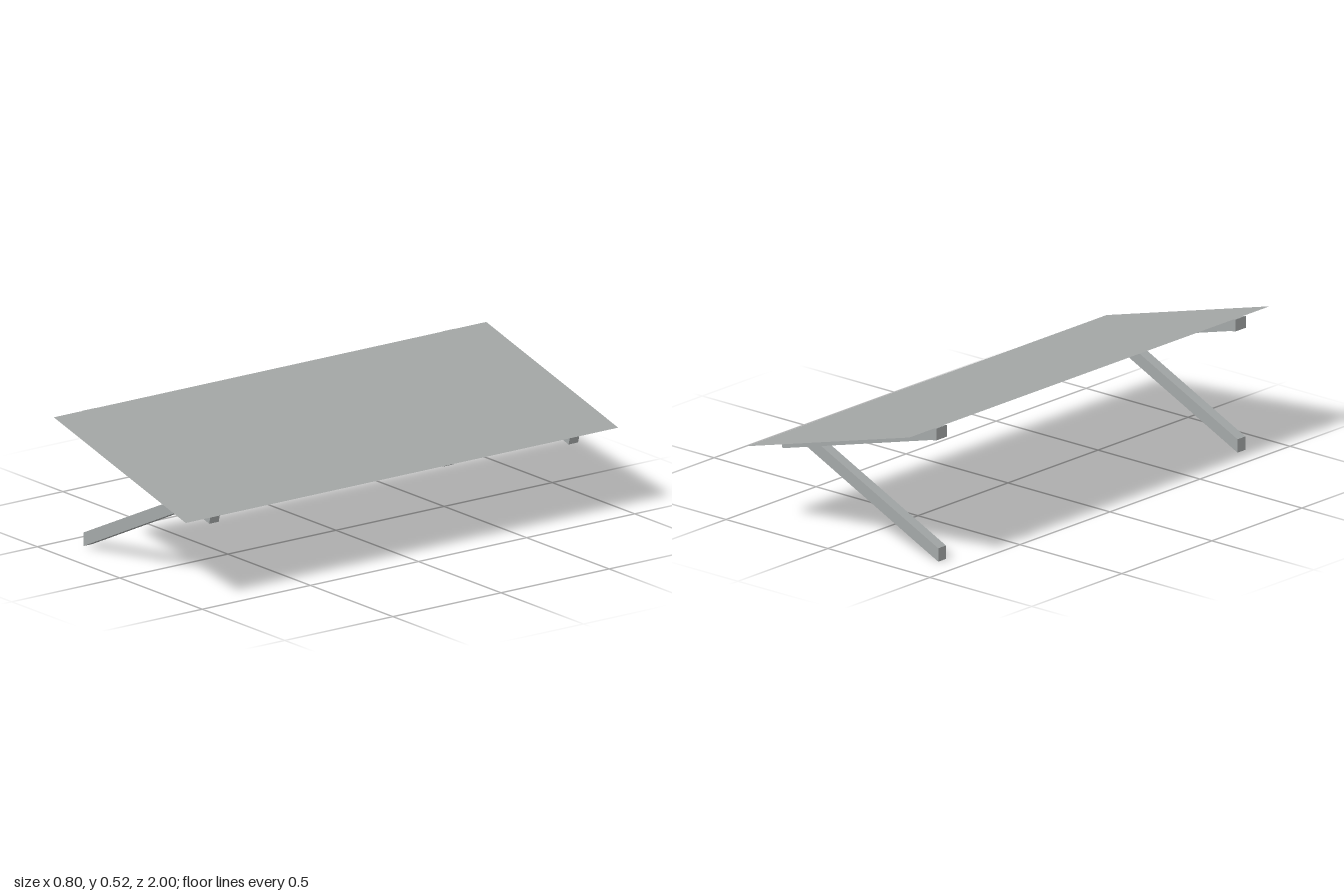
import * as THREE from 'three';

export function createModel() {
  const model = new THREE.Group();
  const grey = new THREE.MeshStandardMaterial({ color: 0xa3a6a5, side: THREE.DoubleSide });
  grey.name = 'grey panel';
  const metal = new THREE.MeshStandardMaterial({ color: 0xa4a8a8 });
  metal.name = 'grey metal';

  // A side profile in x and y, extruded to a bar centred on z
  function bar(name, points, width, z) {
    const shape = new THREE.Shape(points.map(([x, y]) => new THREE.Vector2(x, y)));
    const geometry = new THREE.ExtrudeGeometry(shape, { depth: width, bevelEnabled: false });
    geometry.translate(0, 0, -width / 2);
    const mesh = new THREE.Mesh(geometry, metal);
    mesh.name = name;
    mesh.position.z = z;
    return mesh;
  }

  // Thin sloping roof sheet
  const drop = 0.214;
  const sheet = new THREE.Mesh(new THREE.PlaneGeometry(Math.hypot(0.8, drop), 2), grey);
  sheet.geometry.rotateX(-Math.PI / 2);
  sheet.rotation.z = -Math.atan2(drop, 0.8);
  sheet.position.y = 0.414;
  sheet.name = 'roofSheet';
  model.add(sheet);

  // Two support brackets: sloping arm, diagonal strut and wall plate
  for (const z of [0.839, -0.823]) {
    const bracket = new THREE.Group();
    bracket.name = 'supportBracket';
    bracket.add(
      bar('arm', [[-0.404, 0.474], [0.36, 0.269], [0.371, 0.312], [-0.404, 0.52]], 0.044, z),
      bar('strut', [[-0.404, 0], [0.24, 0.302], [0.17, 0.32], [-0.404, 0.052]], 0.043, z),
      bar('wallPlate', [[-0.405, 0.474], [-0.389, 0.47], [-0.389, 0.516], [-0.405, 0.52]], 0.059, z - 0.004)
    );
    model.add(bracket);
  }
  return model;
}
